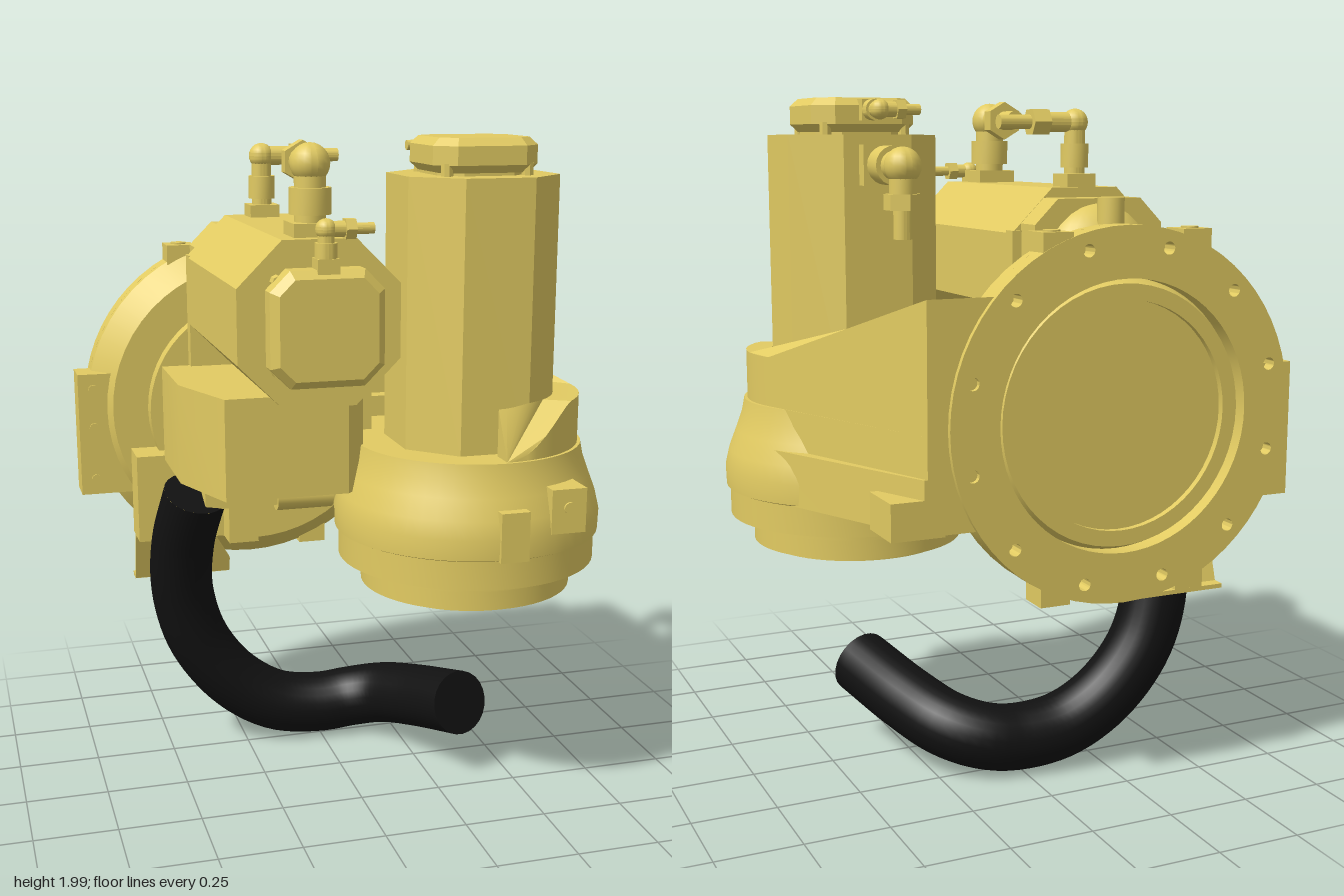
import * as THREE from 'three';
import { toCreasedNormals } from 'three/addons/utils/BufferGeometryUtils.js';

export function createModel() {
  const root = new THREE.Group();
  const yellow = new THREE.MeshStandardMaterial({ color: 0xe2cb62 });
  const black = new THREE.MeshStandardMaterial({ color: 0x111111 });
  const V = (x, y, z) => new THREE.Vector3(x, y, z);
  const UP = V(0, 1, 0);

  const add = (name, geo, mat = yellow, parent = root) => {
    const m = new THREE.Mesh(toCreasedNormals(geo, 0.5), mat);
    m.name = name;
    parent.add(m);
    return m;
  };
  // box given by its two extreme corners
  const box = (name, x0, x1, y0, y1, z0, z1, parent = root) =>
    add(name, new THREE.BoxGeometry(x1 - x0, y1 - y0, z1 - z0)
      .translate((x0 + x1) / 2, (y0 + y1) / 2, (z0 + z1) / 2), yellow, parent);
  // cylinder from a point along a direction
  const rod = (name, p, dir, len, r, parent = root, sides = 20) => {
    const m = add(name, new THREE.CylinderGeometry(r, r, len, sides).translate(0, len / 2, 0), yellow, parent);
    m.position.copy(p);
    m.quaternion.setFromUnitVectors(UP, dir);
    return m;
  };
  const polygon = pts => new THREE.Shape(pts.map(p => new THREE.Vector2(p[0], p[1])));
  // upright prism from [x, z] plan points
  const plan = (pts, y0, y1) => new THREE.ExtrudeGeometry(
    polygon(pts.map(([x, z]) => [x, -z])), { depth: y1 - y0, bevelEnabled: false })
    .rotateX(-Math.PI / 2).translate(0, y0, 0);
  const octagon = (h, c) => polygon([[h, c - h], [h, h - c], [h - c, h], [c - h, h],
    [-h, h - c], [-h, c - h], [c - h, -h], [h - c, -h]]);

  // ---- motors: built along +z, then placed ----
  const motor = (name, length) => {
    const g = new THREE.Group();
    g.name = name;
    root.add(g);
    const prism = (part, shape, z0, depth, bevel = 0) => add(part, new THREE.ExtrudeGeometry(shape, {
      depth: depth - bevel, bevelEnabled: bevel > 0, bevelSize: bevel, bevelOffset: -bevel,
      bevelThickness: bevel, bevelSegments: 1 }).translate(0, 0, z0), yellow, g);
    prism('motorBody', octagon(0.228, 0.125), 0, length);
    prism('motorCapBase', octagon(0.135, 0.06), length, 0.04);
    prism('motorCap', octagon(0.157, 0.055), length + 0.03, 0.075, 0.022);
    for (let i = 0; i < 4; i++) {
      const a = Math.PI / 4 + i * Math.PI / 2;
      rod('capBolt', V(Math.cos(a) * 0.17, Math.sin(a) * 0.17, length), V(0, 0, 1), 0.035, 0.018, g, 8);
    }
    return g;
  };
  motor('horizontalMotor', 0.755).position.set(-0.178, 1.52, -0.32);
  const upright = motor('verticalMotor', 0.79);
  upright.rotation.x = -Math.PI / 2;
  upright.position.set(0.348, 1.105, 0.172);

  // ---- angled cable connectors ----
  const connector = (name, p, d1, len1, d2, len2, r, pad) => {
    const g = new THREE.Group();
    g.name = name;
    root.add(g);
    const base = add('connectorPad', new THREE.BoxGeometry(pad, 0.05, pad), yellow, g);
    base.position.copy(p);
    base.quaternion.setFromUnitVectors(UP, d1);
    rod('connectorStem', p, d1, len1, r * 0.75, g);
    rod('connectorCollar', p.clone().addScaledVector(d1, len1 * 0.25), d1, len1 * 0.4, r, g);
    const corner = p.clone().addScaledVector(d1, len1);
    add('connectorElbow', new THREE.SphereGeometry(r * 0.95, 18, 12), yellow, g).position.copy(corner);
    rod('connectorNeck', corner, d2, len2 * 0.5, r * 0.7, g);
    rod('connectorNut', corner.clone().addScaledVector(d2, len2 * 0.38), d2, len2 * 0.22, r, g, 6);
    rod('connectorTip', corner, d2, len2, r * 0.5, g);
  };
  const X = V(1, 0, 0), BACK = V(0, 0, -1), DOWN = V(0, -1, 0);
  connector('frontPowerConnector', V(-0.178, 1.76, 0.335), UP, 0.18, BACK, 0.195, 0.058, 0.12);
  connector('rearConnector', V(-0.178, 1.76, -0.255), UP, 0.17, X, 0.24, 0.04, 0.09);
  connector('frontSignalConnector', V(-0.178, 1.68, 0.5), UP, 0.1, X, 0.13, 0.03, 0.06);
  connector('uprightPowerConnector', V(0.348, 1.81, -0.07), BACK, 0.18, DOWN, 0.2, 0.055, 0.115);
  connector('uprightSignalConnector', V(0.348, 1.965, 0.015), BACK, 0.09, V(-1, 0, 0), 0.12, 0.03, 0.06);

  // ---- round wrist housing ----
  const CX = 0.348, CZ = 0.172;
  const lathe = pts => new THREE.LatheGeometry(pts.map(p => new THREE.Vector2(p[0], p[1])), 56);
  add('wristHousing', lathe([[0, 0.66], [0.28, 0.66], [0.28, 0.675], [0.318, 0.675], [0.318, 0.735],
    [0.328, 0.735], [0.328, 0.76], [0.387, 0.76], [0.387, 0.845], [0.398, 0.85], [0.4, 0.91],
    [0.388, 0.96], [0.365, 1.02], [0.347, 1.07], [0.338, 1.115], [0, 1.115]])).position.set(CX, 0, CZ);
  box('frontStop', 0.305, 0.39, 0.845, 0.99, 0.45, 0.58);
  box('sideStop', 0.465, 0.57, 0.91, 1.04, 0.4, 0.555);
  rod('stopBolt', V(0.518, 0.985, 0.55), V(0, 0, 1), 0.012, 0.017);

  // ---- arm joining the wrist to the mounting plate ----
  const arc = (r, a0, a1, n = 20) => Array.from({ length: n + 1 }, (_, i) => {
    const a = THREE.MathUtils.degToRad(a0 + (a1 - a0) * i / n);
    return [CX + r * Math.cos(a), CZ + r * Math.sin(a)];
  });
  add('armBody', plan([[0.22, -0.57], [0.41, -0.57], ...arc(0.33, -21, 180), [0.03, -0.08], [0.1, -0.16]], 0.845, 1.115));
  // skirt widens the arm below the wall
  add('armSkirt', plan([[0.36, -0.57], [0.42, -0.57], ...arc(0.37, -21, 40), [CX, CZ]], 0.845, 1.0));
  // wall with a top that climbs toward the back and fades out at the front
  const wall = plan([[0.21, -0.57], [0.41, -0.57], ...arc(0.328, -21, 90), ...arc(0.252, 90, -21), [0.41, -0.41], [0.21, -0.41]], 1.0, 2);
  const p = wall.attributes.position;
  for (let i = 0; i < p.count; i++) {
    if (p.getY(i) < 1.5) continue;
    const z = p.getZ(i);
    const fade = THREE.MathUtils.clamp((z - 0.4) / 0.1, 0, 1);
    p.setY(i, 1.26 + Math.max(0, 0.05 - z) * 0.347 - 0.145 * fade * fade);
  }
  add('armWall', wall);
  box('armEar', 0.36, 0.515, 0.84, 0.945, -0.57, -0.41);
  rod('pocketBoss', V(0.47, 1.1, -0.12), UP, 0.06, 0.035);
  box('pocketRib', 0.14, 0.44, 1.1, 1.18, -0.22, -0.17);

  // ---- mounting plate at the back ----
  const PX = -0.178, PY = 1.125;
  const ring = new THREE.Shape().absarc(0, 0, 0.53, 0, Math.PI * 2);
  ring.holes.push(new THREE.Path().absarc(0, 0, 0.385, 0, Math.PI * 2, true));
  for (let i = 0; i < 12; i++) {
    const a = (i + 0.5) * Math.PI / 6;
    ring.holes.push(new THREE.Path().absarc(0.48 * Math.cos(a), 0.48 * Math.sin(a), 0.018, 0, Math.PI * 2, true));
  }
  add('mountingRing', new THREE.ExtrudeGeometry(ring, { depth: 0.055, bevelEnabled: false, curveSegments: 32 }))
    .position.set(PX, PY, -0.585);
  add('mountingPlate', lathe([[0, -0.545], [0.325, -0.545], [0.325, -0.565], [0.37, -0.565], [0.385, -0.53],
    [0.53, -0.53], [0.53, -0.5], [0.46, -0.415], [0.348, -0.415], [0.348, -0.36], [0, -0.36]])
    .rotateX(Math.PI / 2)).position.set(PX, PY, 0);
  for (const sx of [-1, 1]) for (const sy of [-1, 1]) {
    const x = PX + sx * 0.215, y = PY + sy * 0.47;
    box('plateLug', x - 0.045, x + 0.045, y - 0.045, y + 0.045, -0.583, -0.49);
    rod('lugBolt', V(x, y, -0.54), V(0, sy, 0), 0.05, 0.024);
  }
  box('sidePad', -0.745, -0.58, 0.85, 1.245, -0.545, -0.435);
  for (const y of [0.9, 1.07, 1.195]) rod('sidePadBolt', V(-0.697, y, -0.44), V(0, 0, 1), 0.01, 0.016);

  // ---- gearbox between plate and horizontal motor ----
  box('motorFlange', -0.406, 0.05, 1.285, 1.63, -0.325, -0.28);
  add('gearboxNeck', new THREE.ExtrudeGeometry(octagon(0.2, 0.07), { depth: 0.12, bevelEnabled: false }))
    .position.set(PX, 1.52, -0.41);
  const dome = add('gearboxDome', new THREE.SphereGeometry(1, 32, 18));
  dome.scale.set(0.195, 0.25, 0.14);
  dome.position.set(PX, 1.46, -0.385);
  rod('domePlug', V(PX, 1.58, -0.475), UP, 0.145, 0.038);
  box('gearboxCore', -0.4, 0.1, 0.86, 1.27, -0.37, -0.12);
  box('linkBlock', -0.02, 0.1, 1.1, 1.27, -0.3, 0.0);
  // control box under the horizontal motor
  add('controlBox', plan([[-0.495, -0.3], [0.02, -0.3], [0.02, 0.18], [-0.04, 0.24], [-0.405, 0.24], [-0.495, 0]], 0.985, 1.285));
  box('hoseBlock', -0.585, -0.215, 0.72, 1.0, -0.415, -0.29);
  box('hoseClamp', -0.31, -0.215, 0.72, 0.985, -0.32, -0.2);
  rod('lowerPin', V(-0.17, 0.88, -0.15), X, 0.18, 0.045);

  // thin bent guard below the plate
  const guard = add('guardPlate', new THREE.ExtrudeGeometry(
    polygon([[-0.585, 0], [-0.27, 0], [-0.27, 0.05], [-0.36, 0.21], [-0.585, 0.21]]), { depth: 0.012, bevelEnabled: false }));
  guard.position.set(0, 0.56, -0.43);
  guard.rotation.x = 0.3;
  box('guardLip', -0.585, -0.27, 0.555, 0.568, -0.465, -0.42);

  // ---- hose ----
  const path = new THREE.CatmullRomCurve3([V(-0.42, 0.9, -0.18), V(-0.45, 0.72, -0.26), V(-0.45, 0.55, -0.3),
    V(-0.4, 0.37, -0.31), V(-0.29, 0.22, -0.3), V(-0.15, 0.13, -0.285), V(0, 0.108, -0.275),
    V(0.11, 0.122, -0.26), V(0.2, 0.15, -0.2), V(0.27, 0.19, -0.06), V(0.345, 0.25, 0.17)]);
  add('hose', new THREE.TubeGeometry(path, 60, 0.1, 24), black);
  for (const t of [0, 1]) {
    const end = add('hoseEnd', new THREE.CircleGeometry(0.1, 24), black);
    end.position.copy(path.getPoint(t));
    end.quaternion.setFromUnitVectors(V(0, 0, 1), path.getTangent(t).multiplyScalar(t ? 1 : -1));
  }
  return root;
}
